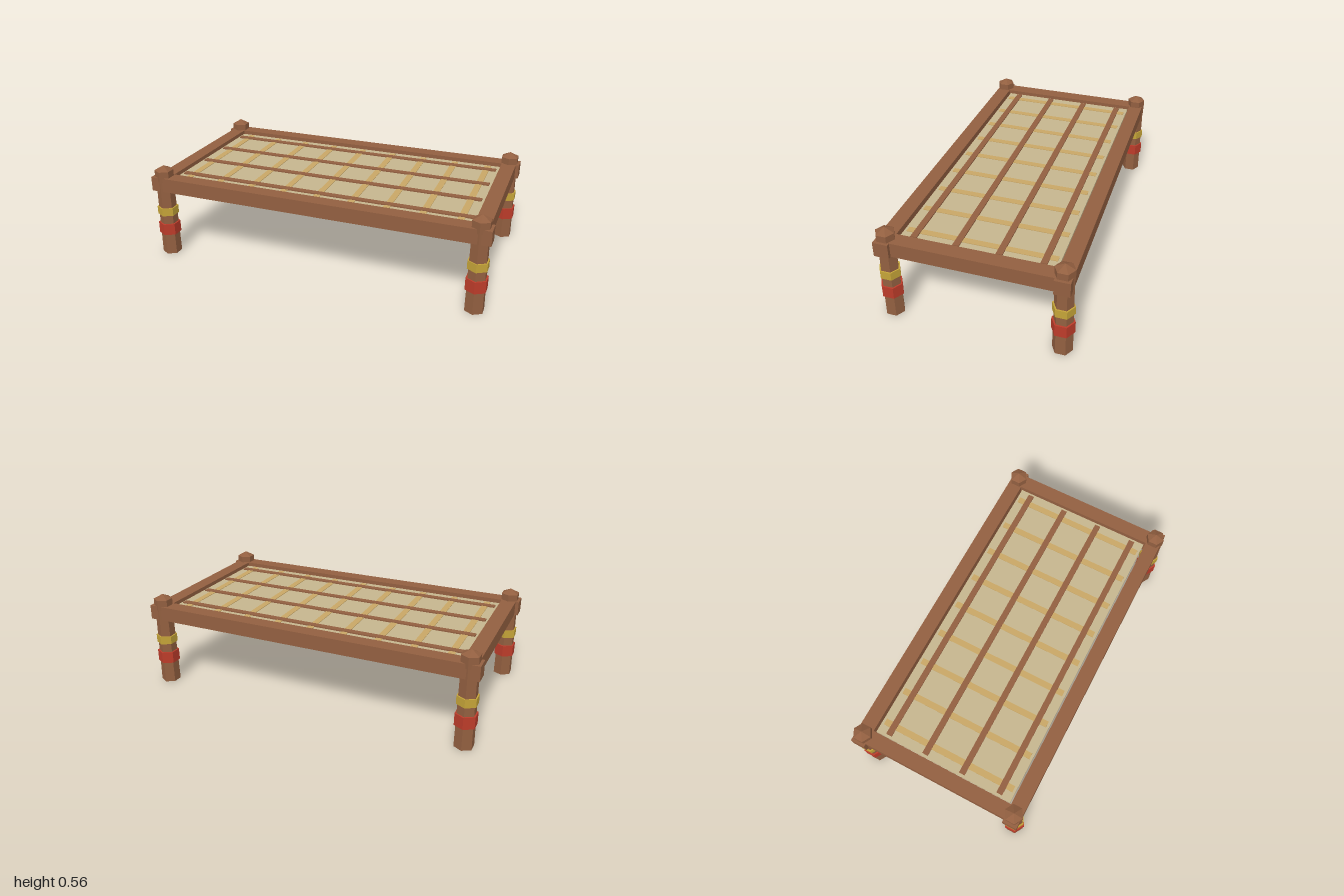
import * as THREE from 'three';

const flat = (name, color) => {
  const m = new THREE.MeshStandardMaterial({ color, flatShading: true });
  m.name = name;
  return m;
};

export function createModel() {
  const wood = flat('wood', 0x925f40);
  const red = flat('redBand', 0xbc3c2a);
  const gold = flat('goldBand', 0xc4a338);
  const cloth = flat('wovenMat', 0xc5b58e);
  const tan = flat('tanStrip', 0xc8a665);

  const bed = new THREE.Group();
  bed.name = 'ropeBed';

  const add = (parent, name, geometry, material, x, y, z) => {
    const mesh = new THREE.Mesh(geometry, material);
    mesh.name = name;
    mesh.position.set(x, y, z);
    parent.add(mesh);
  };
  const box = (name, w, h, d, material, x, y, z) =>
    add(bed, name, new THREE.BoxGeometry(w, h, d), material, x, y, z);
  // Six-sided turned piece between two heights
  const hex = (parent, name, top, bottom, y0, y1, material) =>
    add(parent, name, new THREE.CylinderGeometry(top, bottom, y1 - y0, 6), material, 0, (y0 + y1) / 2, 0);

  // Legs with painted bands and pointed caps
  for (const sx of [-1, 1]) {
    for (const sz of [-1, 1]) {
      const leg = new THREE.Group();
      leg.name = (sz > 0 ? 'front' : 'back') + (sx > 0 ? 'Left' : 'Right') + 'Leg';
      leg.position.set(sx * 0.938, 0, sz * 0.475);
      hex(leg, 'post', 0.05, 0.056, 0, 0.48, wood);
      hex(leg, 'redBand', 0.0635, 0.0635, 0.13, 0.2, red);
      hex(leg, 'goldBand', 0.061, 0.061, 0.255, 0.303, gold);
      hex(leg, 'cap', 0.054, 0.054, 0.47, 0.534, wood);
      add(leg, 'capPoint', new THREE.ConeGeometry(0.054, 0.028, 6), wood, 0, 0.548, 0);
      bed.add(leg);
    }
  }

  // Frame rails, the end rails fitted between the long ones
  for (const s of [-1, 1]) {
    box(s > 0 ? 'frontRail' : 'backRail', 2, 0.085, 0.085, wood, 0, 0.4525, s * 0.4775);
    box(s > 0 ? 'leftEndRail' : 'rightEndRail', 0.085, 0.085, 0.87, wood, s * 0.9375, 0.4525, 0);
  }

  // Woven mat, slightly recessed in the frame
  box('mat', 1.78, 0.02, 0.85, cloth, 0, 0.465, 0);

  // Tan strips across the mat
  for (let i = -4; i <= 4; i++) {
    box('crossStrip', 0.037, 0.004, 0.82, tan, i * 0.204, 0.476, 0);
  }
  // Brown strips along the mat
  for (const z of [-0.351, -0.117, 0.117, 0.351]) {
    box('lengthStrip', 1.75, 0.008, 0.035, wood, 0, 0.478, z);
  }
  return bed;
}
